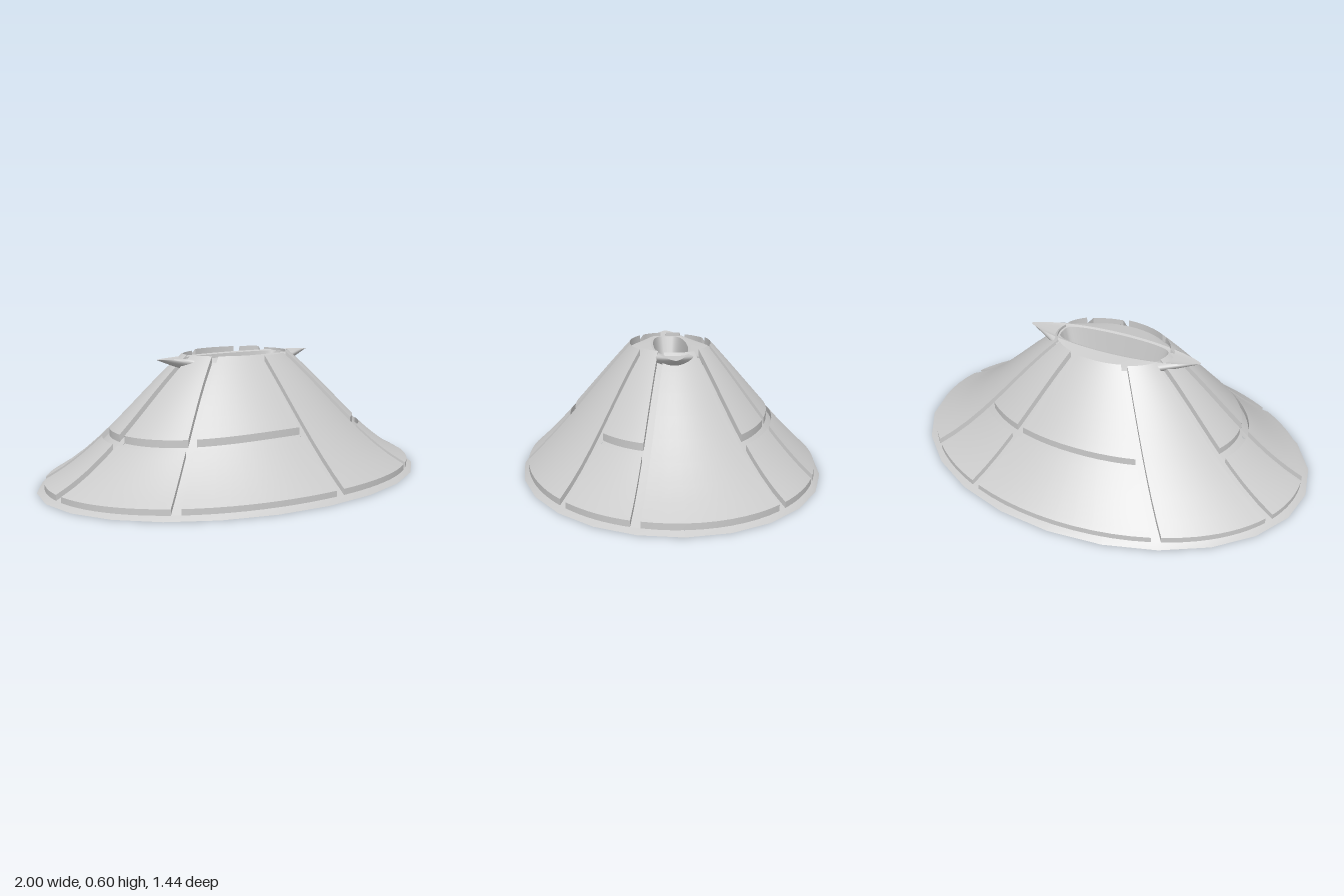
import * as THREE from 'three';

const DEG = Math.PI / 180;
const material = new THREE.MeshStandardMaterial({ color: 0xcccccc, side: THREE.DoubleSide });

const radiusX = (t) => 1 - 0.72 * t;
const radiusZ = (t) => 0.72 - 0.525 * t;

// Point on the slightly hollow elliptical cone: angle a, height fraction t, raised by lift
function cone(a, t, lift = 0) {
  const hollow = 0.015 + 0.03 * (1 - Math.sin(a) ** 4);
  const y = 0.57 * t - 1.9 * hollow * Math.sin(Math.PI * t) * (1 - t);
  return [radiusX(t) * Math.cos(a), y + lift, radiusZ(t) * Math.sin(a)];
}

// Smooth grid surface from a rule f(u, v)
function grid(f, nu, nv) {
  const pos = [], index = [];
  for (let j = 0; j <= nv; j++)
    for (let i = 0; i <= nu; i++) pos.push(...f(i / nu, j / nv));
  for (let j = 0; j < nv; j++)
    for (let i = 0; i < nu; i++) {
      const a = j * (nu + 1) + i, b = a + nu + 1;
      index.push(a, b, a + 1, b, b + 1, a + 1);
    }
  const g = new THREE.BufferGeometry();
  g.setAttribute('position', new THREE.Float32BufferAttribute(pos, 3));
  g.setIndex(index);
  g.computeVertexNormals();
  return g;
}

function add(parent, name, geometry) {
  const mesh = new THREE.Mesh(geometry, material);
  mesh.name = name;
  parent.add(mesh);
}

// Radial grooves, [angle at the base, angle at the top] in degrees
const grooves = [[16, 17], [45, 47], [85, 86], [132, 137], [176, 174],
  [202, 203], [240, 242], [297, 297], [322, 327]];
// Sectors (starting at each groove) that are split by a cross groove
const split = [true, false, true, true, true, false, true, true, false];

// Edge of groove k at height t; side is -1 or 1
function edge(k, t, side) {
  const turn = Math.floor(k / grooves.length) * 360;
  const [a0, a1] = grooves[k % grooves.length];
  const a = (turn + a0 + (a1 - a0) * t) * DEG;
  const reach = Math.hypot(radiusX(t) * Math.sin(a), radiusZ(t) * Math.cos(a));
  return a + side * (0.0225 - 0.0075 * t) / reach;
}

// Surface rule of sector k between heights t0 and t1
const sector = (k, t0, t1) => (u, v, lift) => {
  const t = t0 + (t1 - t0) * v;
  const a = edge(k, t, 1), b = edge(k + 1, t, -1);
  return cone(a + (b - a) * u, t, lift);
};

// Raised plate with upright walls on all four edges
function panel(parent, k, t0, t1, lift) {
  const f = sector(k, t0, t1);
  const g = new THREE.Group();
  g.name = 'panel';
  add(g, 'panelFace', grid((u, v) => f(u, v, lift), 10, 8));
  add(g, 'lowerWall', grid((u, v) => f(u, 0, v * lift), 10, 1));
  add(g, 'upperWall', grid((u, v) => f(1 - u, 1, v * lift), 10, 1));
  add(g, 'startWall', grid((u, v) => f(0, 1 - u, v * lift), 8, 1));
  add(g, 'endWall', grid((u, v) => f(1, u, v * lift), 8, 1));
  parent.add(g);
}

export function createModel() {
  const model = new THREE.Group();
  model.name = 'panelledCone';
  const T0 = 0.05, GAP0 = 0.44, GAP1 = 0.49;

  // Rim around the foot, with 24 sides
  add(model, 'footRim', grid((u, v) => cone(u * 2 * Math.PI, v * T0), 24, 1));

  // Groove floors and raised panels
  grooves.forEach((_, k) => {
    add(model, 'radialGroove', grid((u, v) => {
      const t = T0 + (1 - T0) * v;
      const a = edge(k, t, -1), b = edge(k, t, 1);
      return cone(a + (b - a) * u, t);
    }, 1, 8));
    if (split[k]) {
      const floor = sector(k, GAP0, GAP1);
      add(model, 'crossGroove', grid((u, v) => floor(u, v, 0), 10, 1));
      panel(model, k, T0, GAP0, 0.027);
      panel(model, k, GAP1, 1, 0.034);
    } else panel(model, k, T0, 1, 0.028);
  });

  // Closed outline: end radius rx, height y, half width rz; power > 1 points the ends
  const lens = (rx, y, rz, power) => (a) => {
    const s = Math.sin(a);
    return [rx * Math.cos(a), y, rz * Math.sign(s) * Math.abs(s) ** power];
  };
  const loft = (f, g) => grid((u, v) => {
    const p = f(u * 2 * Math.PI), q = g(u * 2 * Math.PI);
    return p.map((c, i) => c + (q[i] - c) * v);
  }, 64, 2);
  const coneTop = (a) => cone(a, 1 - 0.05 * Math.cos(a) ** 8);
  const lip = lens(0.44, 0.59, 0.095, 1.5);
  const mouth = lens(0.27, 0.585, 0.082, 0.5);
  const bottom = lens(0.17, 0.21, 0.032, 1);

  // Shoulder that closes the cone and becomes the underside of two pointed horns
  add(model, 'shoulder', loft(coneTop, lip));
  add(model, 'mouthRim', loft(lip, mouth));

  // Tapering well below the mouth
  add(model, 'wellWall', loft(mouth, bottom));
  add(model, 'wellFloor', loft(bottom, lens(0, 0.21, 0, 1)));
  return model;
}
